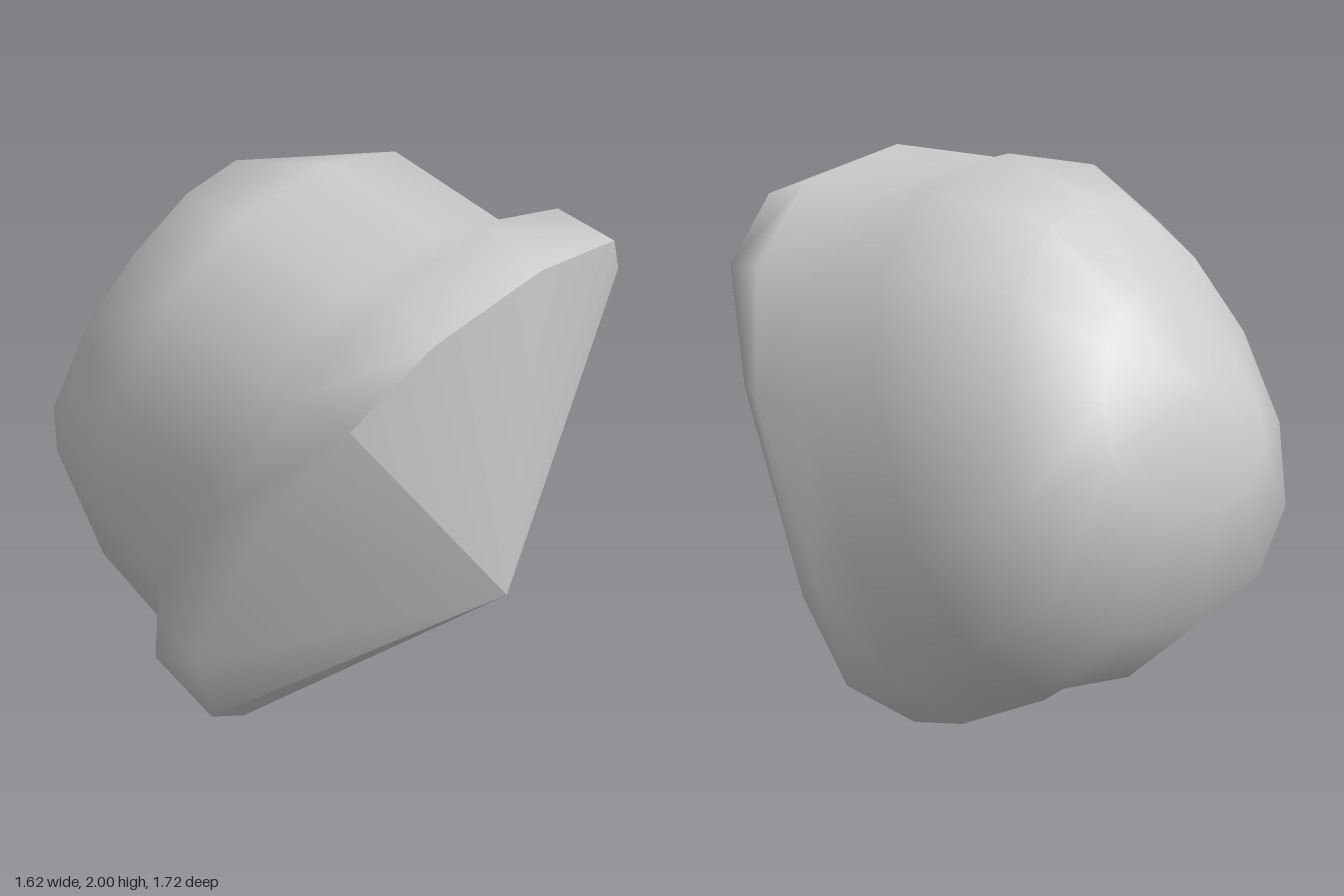
import * as THREE from 'three';

const SIDES = 14;

// Tilted cross-sections, front to back. Each has its top and bottom [y, z],
// half width and roundness; cheek and jaw push the middle and lower sides
// backwards, taper narrows the top and widens the bottom.
const RINGS = [
  { top: [1.89, 0.86], bottom: [0, 0.06], width: 0.79, round: 0.7, cheek: 0.12 },       // front rim
  { top: [1.965, 0.68], bottom: [0.07, -0.11], width: 0.83, round: 0.85, jaw: 0.3 },    // swollen brim
  { top: [1.885, 0.5], bottom: [0.2, -0.18], width: 0.73, round: 0.85, jaw: 0.25 },     // groove
  { top: [2.0, 0.08], bottom: [0.34, -0.52], width: 0.735, round: 0.85 },               // crown
  { top: [1.91, -0.31], bottom: [0.65, -0.81], width: 0.57, round: 0.95, taper: 0.25 },
  { top: [1.64, -0.54], bottom: [1.05, -0.86], width: 0.32, round: 1, taper: 0.25 },
];
const FRONT_TIP = [-0.02, 0.77, 0.86];
const BACK_POLE = [0, 1.43, -0.785];

const soft = (v, e) => Math.sign(v) * Math.pow(Math.abs(v), e);

function ringPoint({ top, bottom, width, round, cheek = 0, jaw = 0, taper = 0 }, j) {
  const a = (j / SIDES) * Math.PI * 2;
  const s = j % (SIDES / 2) === 0 ? 0 : soft(Math.sin(a), round);
  const t = (soft(Math.cos(a), round) + 1) / 2;
  const setBack = cheek * Math.pow(s, 14) + jaw * s * s * Math.pow(1 - t, 3);
  return [
    width * s * (1 + taper * (1 - 2 * t)),
    bottom[0] + (top[0] - bottom[0]) * t,
    bottom[1] + (top[1] - bottom[1]) * t - setBack,
  ];
}

const points = [FRONT_TIP, BACK_POLE];
for (const ring of RINGS) {
  for (let j = 0; j < SIDES; j++) points.push(ringPoint(ring, j));
}
const at = (r, j) => 2 + r * SIDES + (j % SIDES);

// Triangles from the front tip to the rim, over a run of rim segments
function frontFan(first, count) {
  const index = [];
  for (let j = first; j < first + count; j++) index.push(0, at(0, j + 1), at(0, j));
  return index;
}

// Bands from the rim to the back, closed by a cap
function bands() {
  const last = RINGS.length - 1;
  const index = [];
  for (let j = 0; j < SIDES; j++) {
    for (let r = 0; r < last; r++) {
      index.push(at(r, j), at(r, j + 1), at(r + 1, j));
      index.push(at(r, j + 1), at(r + 1, j + 1), at(r + 1, j));
    }
    index.push(at(last, j), at(last, j + 1), 1);
  }
  return index;
}

export function createModel() {
  const group = new THREE.Group();
  group.name = 'hood';
  const material = new THREE.MeshStandardMaterial({ color: 0xcccccc });

  // Each part is smooth within itself and meets its neighbours at a sharp edge
  const addPart = (name, index) => {
    const used = [...new Set(index)];
    const geometry = new THREE.BufferGeometry();
    geometry.setAttribute('position',
      new THREE.Float32BufferAttribute(used.flatMap((i) => points[i]), 3));
    geometry.setIndex(index.map((i) => used.indexOf(i)));
    geometry.computeVertexNormals();
    const mesh = new THREE.Mesh(geometry, material);
    mesh.name = name;
    group.add(mesh);
  };

  addPart('upperFrontPanel', frontFan(12, 4));
  addPart('lowerFrontPanel', frontFan(5, 4));
  // The cheeks run smoothly into the brim and the back
  addPart('shell', [...frontFan(2, 3), ...frontFan(9, 3), ...bands()]);
  return group;
}
